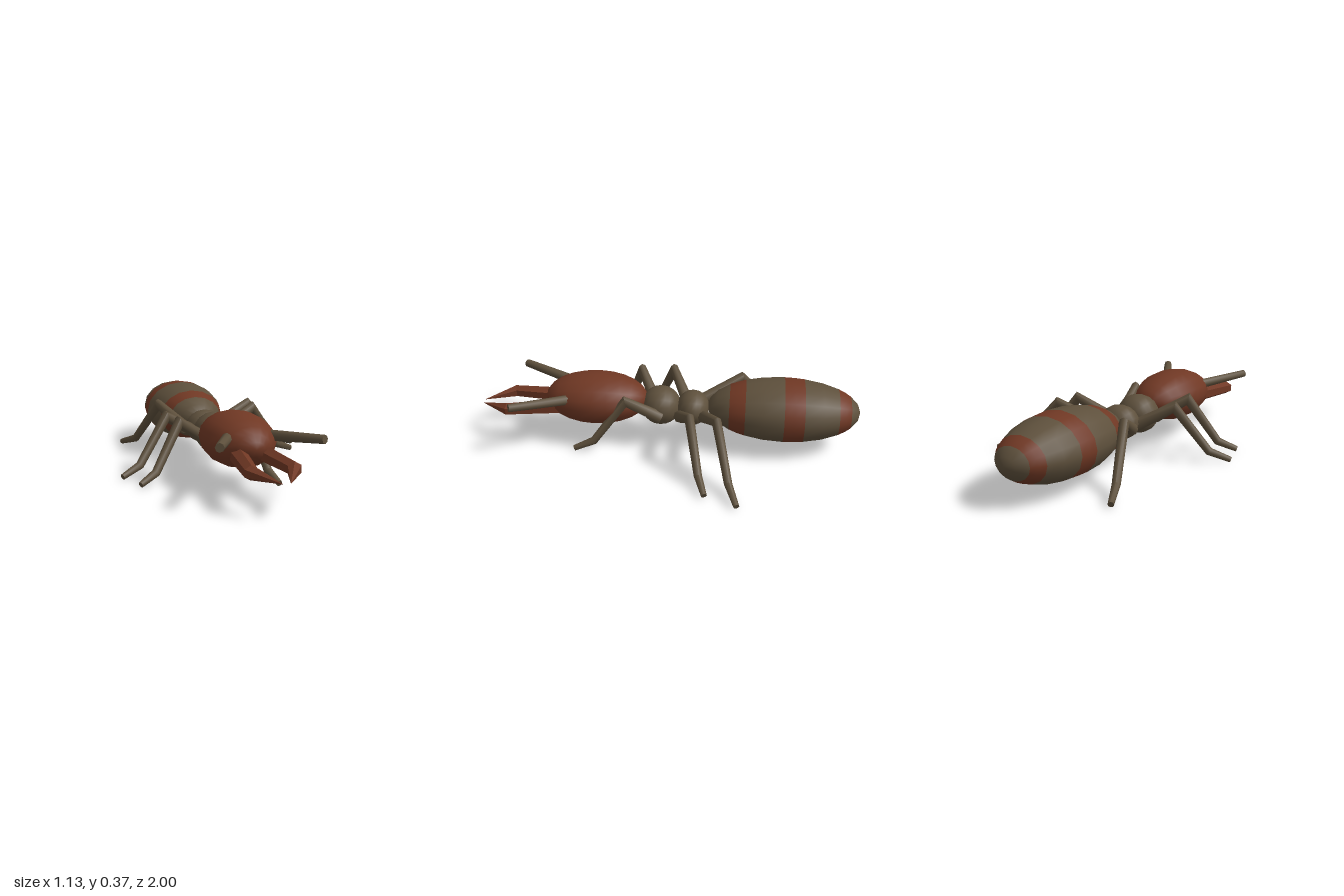
import * as THREE from 'three';
import { toCreasedNormals } from 'three/addons/utils/BufferGeometryUtils.js';

const MID = -0.053; // body axis, offset because the legs spread unevenly

function material(name, color) {
  const m = new THREE.MeshStandardMaterial({ color });
  m.name = name;
  return m;
}

// Limb with mitred joints; points are [x, y, z, radius], side is normal to the bend plane
function limb(points, side, sides, crease) {
  const p = points.map(([x, y, z]) => new THREE.Vector3(x, y, z));
  const last = p.length - 1;
  const pos = [], index = [];
  const dir = (i) => p[i + 1].clone().sub(p[i]).normalize();
  p.forEach((c, j) => {
    const a = dir(Math.max(j - 1, 0)), b = dir(Math.min(j, last - 1));
    const t = a.clone().add(b).normalize();
    const s = side.clone().addScaledVector(t, -side.dot(t)).normalize();
    const n = t.clone().cross(s).divideScalar(t.dot(a));
    for (let i = 0; i < sides; i++) {
      const ang = (i / sides) * Math.PI * 2, r = points[j][3];
      const v = c.clone().addScaledVector(s, r * Math.cos(ang)).addScaledVector(n, r * Math.sin(ang));
      pos.push(v.x, v.y, v.z);
    }
  });
  const first = pos.length / 3;
  pos.push(...p[0].toArray(), ...p[last].toArray());
  for (let i = 0; i < sides; i++) {
    const k = (i + 1) % sides;
    for (let j = 0; j < last; j++) {
      const a = j * sides + i, b = j * sides + k;
      index.push(a, b, b + sides, a, b + sides, a + sides);
    }
    index.push(first, k, i, first + 1, last * sides + i, last * sides + k);
  }
  const g = new THREE.BufferGeometry();
  g.setAttribute('position', new THREE.Float32BufferAttribute(pos, 3));
  g.setIndex(index);
  return toCreasedNormals(g, crease);
}

// Ellipsoid (or a band of one) with its pole on the z axis; rows count from the back
function ellipsoid([y, z], [rx, ry, rz], from = 0, rows = 12) {
  const step = Math.PI / 12;
  return new THREE.SphereGeometry(1, 16, rows, 0, Math.PI * 2, from * step, rows * step)
    .rotateX(-Math.PI / 2).scale(rx, ry, rz).translate(MID, y, z);
}

export function createModel() {
  const model = new THREE.Group();
  const brown = material('dark brown', 0x5e503c);
  const rust = material('rust red', 0x703824);
  const add = (name, geometry, mat, parent = model) => {
    const mesh = new THREE.Mesh(geometry, mat);
    mesh.name = name;
    parent.add(mesh);
  };

  // Body
  add('head', ellipsoid([0.234, 0.375], [0.173, 0.132, 0.27]), rust);
  add('frontThorax', ellipsoid([0.203, 0.035], [0.112, 0.102, 0.104]), brown);
  add('rearThorax', ellipsoid([0.197, -0.133], [0.106, 0.09, 0.086]), brown);

  // Striped abdomen: [first row, row count, colour]
  const abdomen = new THREE.Group();
  abdomen.name = 'abdomen';
  model.add(abdomen);
  for (const [from, rows, mat] of [[0, 2, brown], [2, 1, rust], [3, 2, brown], [5, 1, rust],
    [6, 2, brown], [8, 1, rust], [9, 3, brown]]) {
    add(mat === rust ? 'abdomenStripe' : 'abdomenBand',
      ellipsoid([0.213, -0.605], [0.204, 0.158, 0.395], from, rows), mat, abdomen);
  }

  // Mandibles
  const up = new THREE.Vector3(0, 1, 0);
  for (const s of [1, -1]) {
    add(s > 0 ? 'leftMandible' : 'rightMandible', limb([
      [MID + s * 0.06, 0.2, 0.55, 0.043],
      [MID + s * 0.1, 0.187, 0.84, 0.034],
      [MID + s * 0.018, 0.17, 0.995, 0.001],
    ], up, 6, 0.1), rust);
  }

  // Antennae
  add('leftAntenna', limb([[0.055, 0.268, 0.5, 0.027], [0.217, 0.293, 0.78, 0.021]], up, 8, 0.9), brown);
  add('rightAntenna', limb([[-0.14, 0.27, 0.5, 0.027], [-0.28, 0.296, 0.805, 0.021]], up, 8, 0.9), brown);

  // Legs: hip x, z and toe x, z
  const legs = {
    leftFrontLeg: [0.045, 0.03, 0.13, 0.475],
    leftMiddleLeg: [0.03, -0.07, 0.483, -0.228],
    leftHindLeg: [0.02, -0.193, 0.555, -0.386],
    rightFrontLeg: [-0.13, 0.075, -0.505, 0.29],
    rightMiddleLeg: [-0.13, -0.1, -0.558, 0.12],
    rightHindLeg: [-0.15, -0.17, -0.395, -0.7],
  };
  for (const [name, [hx, hz, tx, tz]] of Object.entries(legs)) {
    const profile = [[0, 0.185, 0.033], [0.4, 0.285, 0.025], [0.77, 0.06, 0.021], [1, 0.02, 0.015]];
    const path = profile.map(([f, y, r]) => [hx + (tx - hx) * f, y, hz + (tz - hz) * f, r]);
    add(name, limb(path, new THREE.Vector3(tz - hz, 0, hx - tx), 8, 0.9), brown);
  }
  return model;
}
